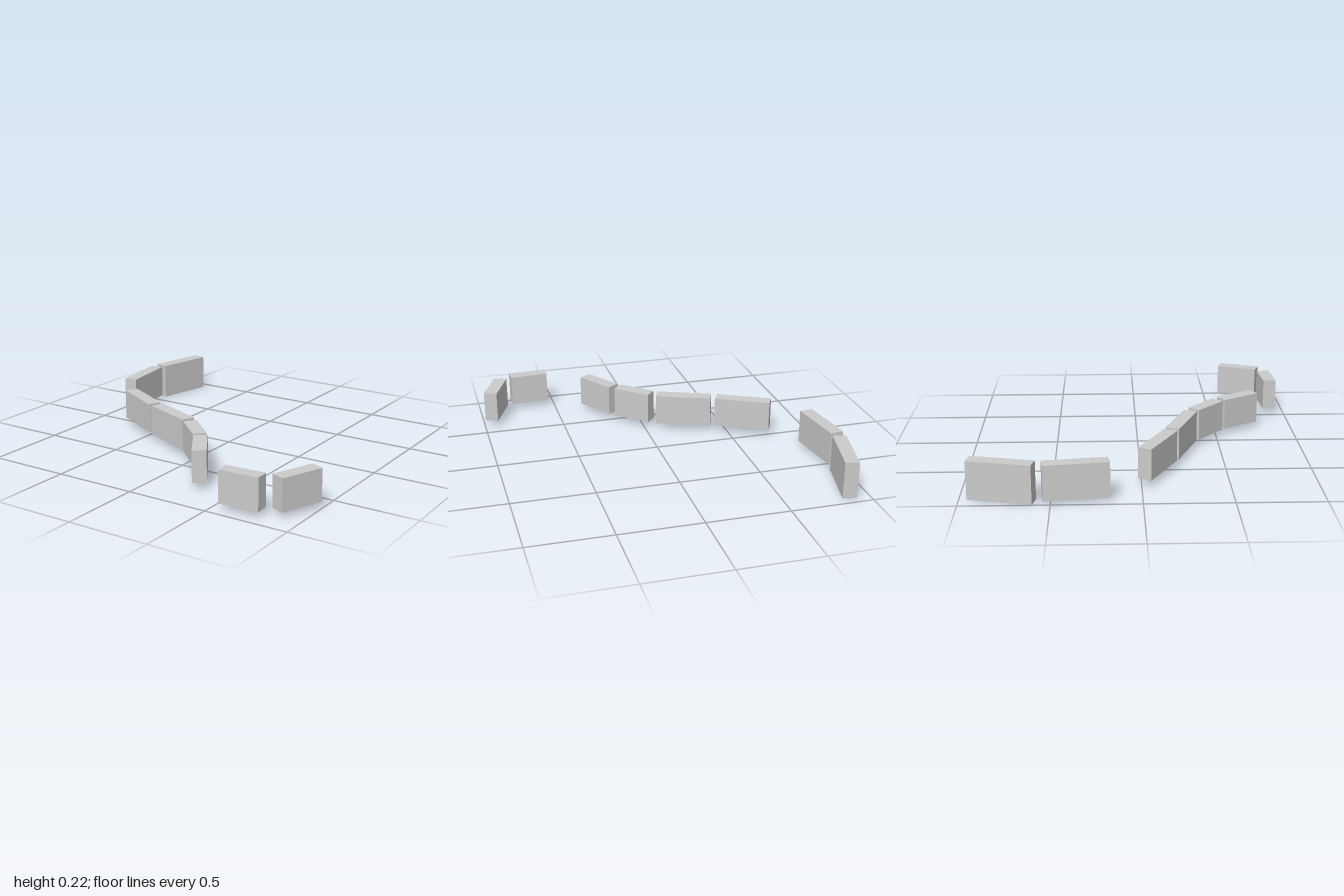
import * as THREE from 'three';

const TOP = 0.225;
const THICKNESS = 0.083;

// Each wall block: centre line start (x, z), end (x, z), underside height
const BLOCKS = [
  [-0.876, -0.948, -0.956, -0.59, 0],
  [-0.961, -0.545, -0.913, -0.182, 0.02],
  [-0.75, 0.015, -0.44, 0.179, 0.04],
  [-0.409, 0.19, -0.083, 0.321, 0.034],
  [-0.051, 0.345, 0.131, 0.51, 0.034],
  [0.155, 0.534, 0.299, 0.757, 0.034],
  [0.545, 0.903, 0.785, 0.889, 0.034],
  [0.856, 0.855, 0.955, 0.609, 0.034],
];

export function createModel() {
  const model = new THREE.Group();
  model.name = 'brokenWall';
  const material = new THREE.MeshStandardMaterial({ color: 0xcccccc, flatShading: true });

  // Free-standing blocks laid end to end along a winding line, tops level
  BLOCKS.forEach(([x0, z0, x1, z1, bottom], i) => {
    const length = Math.hypot(x1 - x0, z1 - z0);
    const block = new THREE.Mesh(new THREE.BoxGeometry(length, TOP - bottom, THICKNESS), material);
    block.name = `wallBlock${i + 1}`;
    block.position.set((x0 + x1) / 2, (TOP + bottom) / 2, (z0 + z1) / 2);
    block.rotation.y = -Math.atan2(z1 - z0, x1 - x0);
    model.add(block);
  });

  return model;
}
